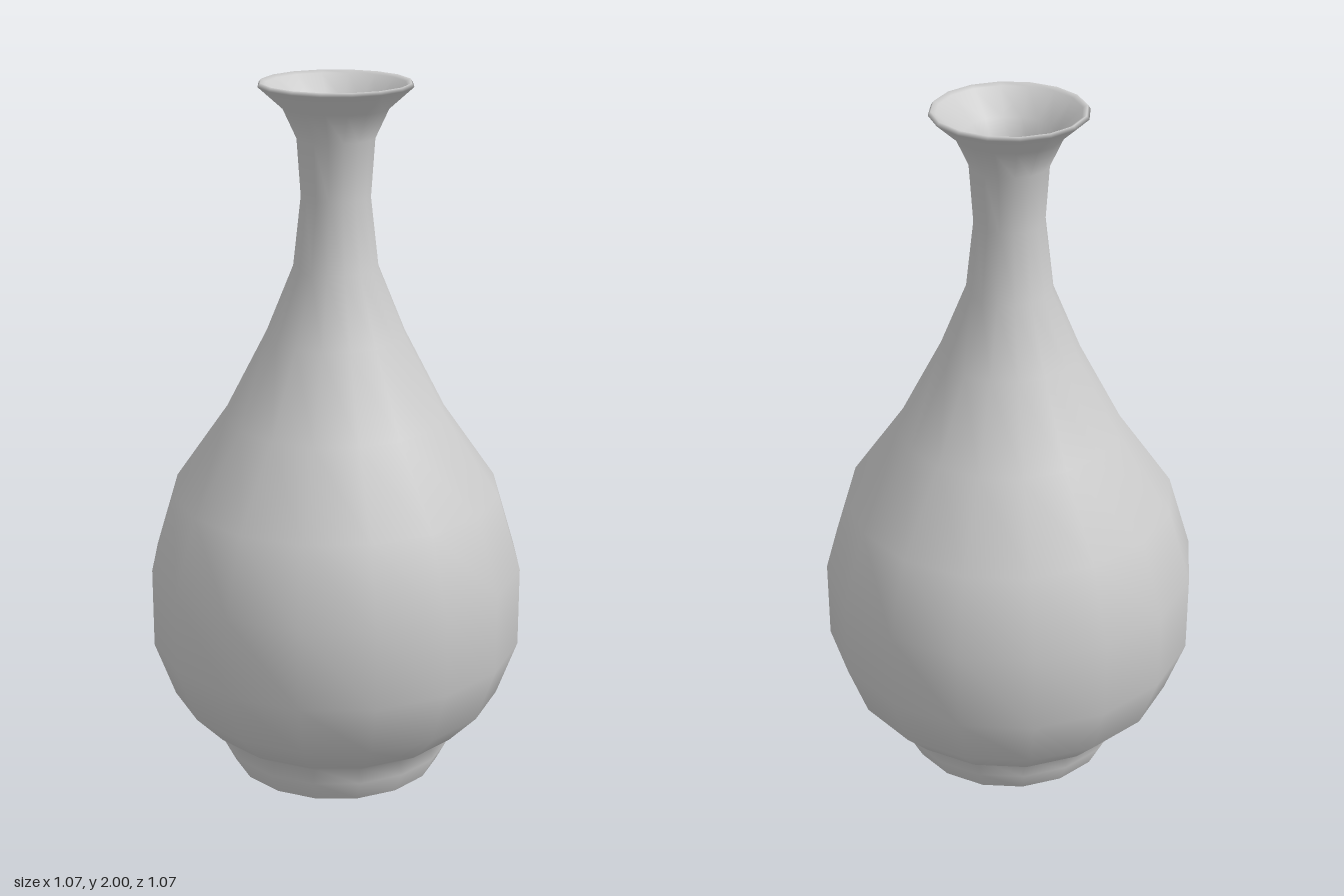
import * as THREE from 'three';

const SIDES = 16;

// Turns a list of [radius, height] pairs into a smooth 16-sided surface
function lathe(name, profile, material) {
  const points = profile.map(([r, y]) => new THREE.Vector2(r, y));
  const mesh = new THREE.Mesh(new THREE.LatheGeometry(points, SIDES), material);
  mesh.name = name;
  return mesh;
}

export function createModel() {
  const group = new THREE.Group();
  group.name = 'vase';
  const material = new THREE.MeshStandardMaterial({ color: 0xcccccc });

  // Outer wall from the belly up to the neck
  const wall = [
    [0.39, 0.15], [0.475, 0.24], [0.533, 0.4], [0.533, 0.63],
    [0.467, 0.85], [0.315, 1.07], [0.197, 1.3], [0.12, 1.49],
    [0.097, 1.69], [0.108, 1.85], [0.145, 1.93],
  ];
  // Inner wall: the same curve, one wall thickness further in
  const inner = wall.map(([r, y]) => [r - 0.02, y]).reverse();

  // Foot, belly, neck, flared lip and hollow inside in one continuous profile
  group.add(lathe('body', [
    [0.302, 0.005], [0.335, 0.07], [0.325, 0.11],
    ...wall,
    [0.212, 1.99], [0.205, 2], [0.192, 1.993],
    ...inner,
    [0.3, 0.12], [0, 0.12],
  ], material));

  // Flat underside of the foot
  group.add(lathe('base', [[0, 0], [0.19, 0], [0.302, 0.005]], material));

  return group;
}
